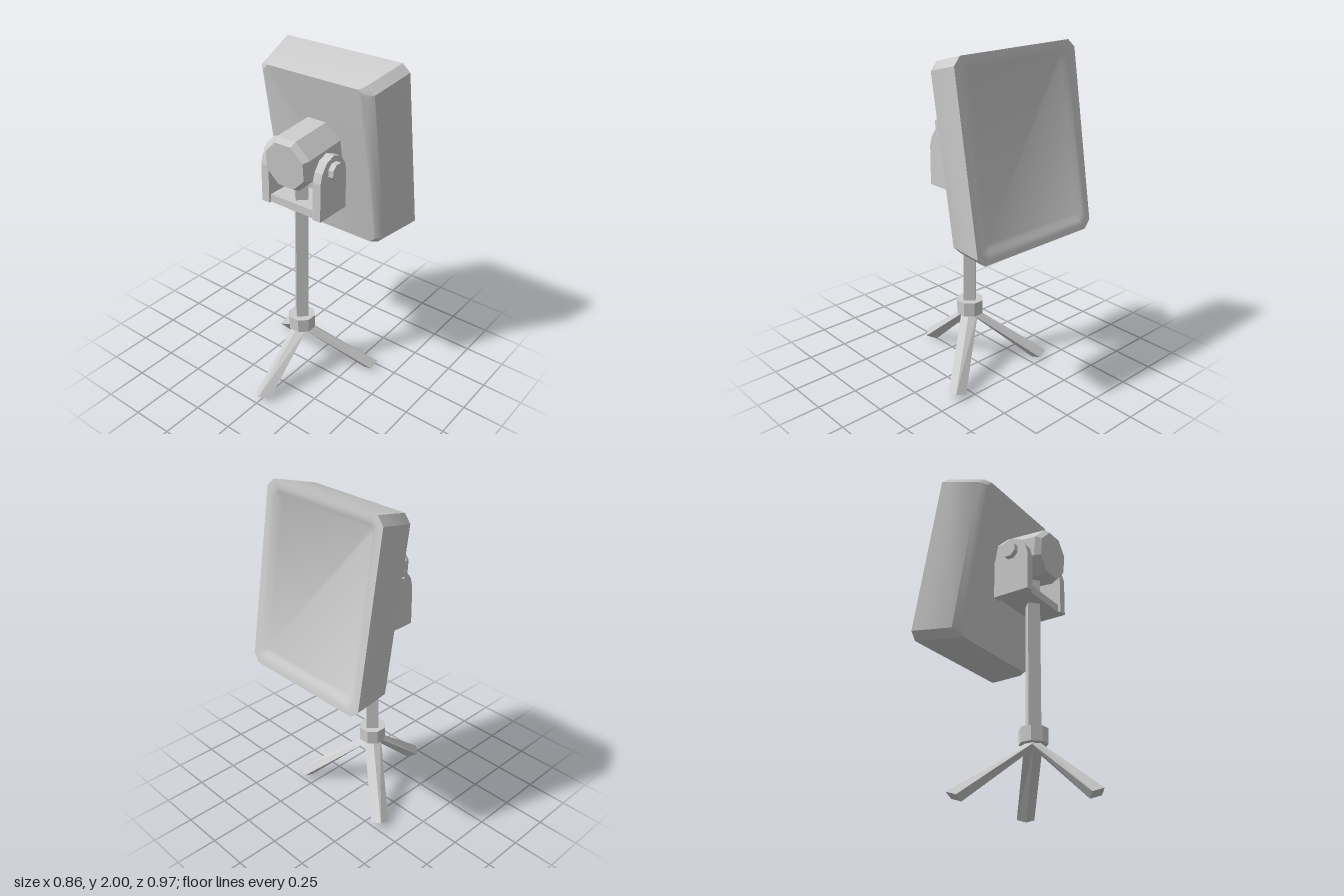
import * as THREE from 'three';
import { toCreasedNormals } from 'three/addons/utils/BufferGeometryUtils.js';

const deg = THREE.MathUtils.degToRad;
const X0 = 0.006;    // axis of the stand
const Z0 = 0.066;
const faceted = new THREE.MeshStandardMaterial({ color: 0xcccccc, flatShading: true });
const smooth = new THREE.MeshStandardMaterial({ color: 0xcccccc });

function part(parent, name, geometry, x = 0, y = 0, z = 0, material = faceted) {
  const mesh = new THREE.Mesh(geometry, material);
  mesh.name = name;
  mesh.position.set(x, y, z);
  parent.add(mesh);
  return mesh;
}

// Closed solid through rings of [x, y, z], ordered from +z to -z, each counter-clockwise seen from +z
function loft(rings) {
  const n = rings[0].length, last = (rings.length - 1) * n, index = [];
  for (let i = 0; i < rings.length - 1; i++) {
    for (let j = 0; j < n; j++) {
      const a = i * n + j, b = i * n + (j + 1) % n;
      index.push(a, a + n, b, b, a + n, b + n);
    }
  }
  for (let k = 1; k < n - 1; k++) {
    index.push(0, k, k + 1, last, last + k + 1, last + k);
  }
  const g = new THREE.BufferGeometry();
  g.setAttribute('position', new THREE.Float32BufferAttribute(rings.flat(2), 3));
  g.setIndex(index);
  return g;
}

// Rectangle with cut corners
function cutRect(w, h, c, z) {
  return [[w, c - h], [w, h - c], [w - c, h], [c - w, h], [-w, h - c], [-w, c - h], [c - w, -h], [w - c, -h]]
    .map(([x, y]) => [x, y, z]);
}

// Prism with an even number of sides, flat side up
function prism(r, height, sides, top = r) {
  return new THREE.CylinderGeometry(top, r, height, sides).rotateY(Math.PI / sides);
}

export function createModel() {
  const model = new THREE.Group();

  // Tilted panel with tapered sides and a recessed back face
  const panel = new THREE.Group();
  panel.name = 'panel';
  panel.rotation.x = deg(10);
  model.add(panel);
  const shell = loft([
    cutRect(0.34, 0.5, 0.035, -0.357),
    cutRect(0.38, 0.513, 0.045, -0.392),
    cutRect(0.422, 0.53, 0.045, -0.59),
    cutRect(0.432, 0.534, 0.045, -0.643),
    cutRect(0.405, 0.505, 0.04, -0.643),
    cutRect(0.375, 0.475, 0.03, -0.637),
    cutRect(0.345, 0.452, 0.02, -0.618),
  ]);
  part(panel, 'panelShell', toCreasedNormals(shell, deg(42)), 0, 1.383, 0, smooth);

  // Eight-sided head with a bevelled front, running into the panel
  const head = new THREE.Group();
  head.name = 'head';
  head.position.set(X0, 1.485, 0.21);
  head.rotation.x = deg(5);
  model.add(head);
  part(head, 'headBody', prism(0.163, 0.3, 8).rotateX(Math.PI / 2), 0, 0, -0.185);
  part(head, 'headBevel', prism(0.163, 0.035, 8, 0.139).rotateX(Math.PI / 2), 0, 0, -0.0175);

  // Yoke: two arched arms, bolts and a crossbar
  const yoke = new THREE.Group();
  yoke.name = 'yoke';
  yoke.position.set(X0, 0, 0.048);
  model.add(yoke);
  const arch = new THREE.Shape([
    [-0.115, 1.19], [0.115, 1.19], [0.115, 1.42], [0.1, 1.475], [0.06, 1.527],
    [0, 1.55], [-0.06, 1.527], [-0.1, 1.475], [-0.115, 1.42],
  ].map(([z, y]) => new THREE.Vector2(z, y)));
  for (const side of [-1, 1]) {
    const arm = new THREE.ExtrudeGeometry(arch, { depth: 0.052, bevelEnabled: false })
      .translate(0, 0, -0.026).rotateY(Math.PI / 2);
    part(yoke, side > 0 ? 'leftArm' : 'rightArm', arm, side * 0.182, 0, 0);
    part(yoke, side > 0 ? 'leftBolt' : 'rightBolt',
      prism(0.052, 0.06, 8).rotateZ(Math.PI / 2), side * 0.211, 1.463, 0);
  }
  part(yoke, 'crossbar', new THREE.BoxGeometry(0.32, 0.048, 0.2), 0, 1.214, 0);

  // Square pole set cornerwise, and the hub below it
  part(model, 'pole', new THREE.CylinderGeometry(0.051, 0.051, 1.02, 4), X0, 0.89, Z0);
  part(model, 'hub', prism(0.083, 0.088, 8), X0, 0.384, Z0);

  // Three splayed legs with slanted feet
  const legs = [['frontLeg', 0, 0.42], ['leftLeg', 128.7, 0.478], ['rightLeg', -128.7, 0.478]];
  for (const [name, angle, reach] of legs) {
    const ring = (topZ, topY, lowZ, lowY) => {
      const z = (topZ + lowZ) / 2, y = (topY + lowY) / 2;
      return [[0.051, y, z], [0, topY, topZ], [-0.051, y, z], [0, lowY, lowZ]];
    };
    const leg = loft([ring(reach, 0.045, reach - 0.085, 0), ring(0.02, 0.362, -0.015, 0.33)]);
    part(model, name, leg, X0, 0, Z0).rotation.y = deg(angle);
  }
  return model;
}
